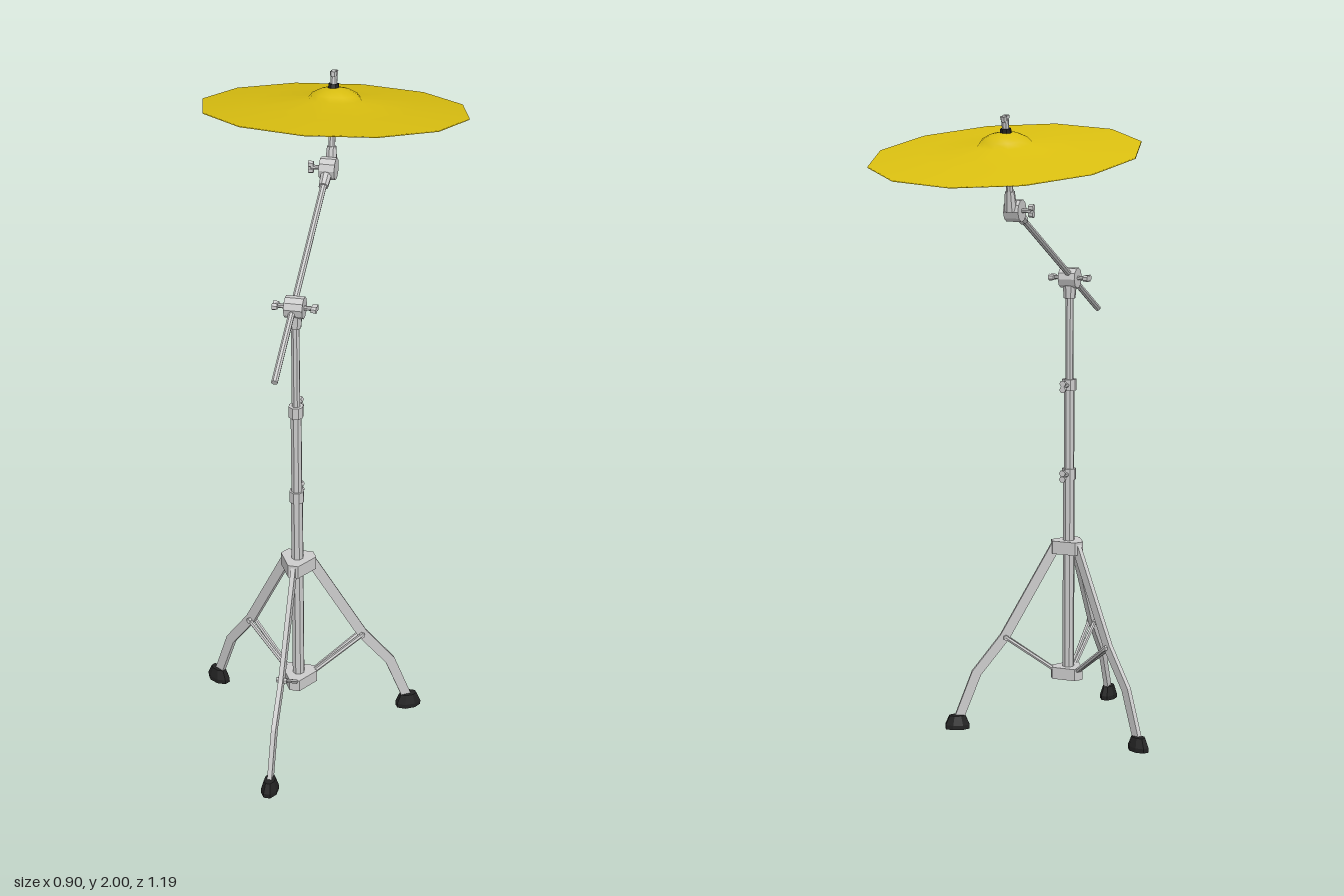
import * as THREE from 'three';

const V = (x, y, z) => new THREE.Vector3(x, y, z);
const UP = V(0, 1, 0);
const metal = new THREE.MeshStandardMaterial({ color: 0xcccccc, flatShading: true });
const rubber = new THREE.MeshStandardMaterial({ color: 0x222222, flatShading: true });
const brass = new THREE.MeshStandardMaterial({ color: 0xd9be10, side: THREE.DoubleSide });

function add(parent, name, geo, mat = metal) {
  const m = new THREE.Mesh(geo, mat);
  m.name = name;
  parent.add(m);
  return m;
}

// Round bar from a to b
function bar(parent, name, a, b, r0, r1 = r0, mat = metal, sides = 8) {
  const d = b.clone().sub(a);
  const m = add(parent, name, new THREE.CylinderGeometry(r1, r0, d.length(), sides), mat);
  m.position.copy(a).addScaledVector(d, 0.5);
  m.quaternion.setFromUnitVectors(UP, d.normalize());
  return m;
}

// Flat plate cut from an outline in the xy plane, centred in z
function plate(points, depth) {
  const shape = new THREE.Shape(points.map(([x, y]) => new THREE.Vector2(x, y)));
  return new THREE.ExtrudeGeometry(shape, { depth, bevelEnabled: false }).translate(0, 0, -depth / 2);
}

// Three-sided hub with blunt corners, pointing at the legs
function hub(parent, name, y, height) {
  const pts = [];
  for (let k = 0; k < 3; k++) {
    for (const w of [-0.016, 0.016]) {
      const a = k * Math.PI * 2 / 3, c = Math.cos(a), s = Math.sin(a);
      pts.push([0.055 * c - w * s, 0.055 * s + w * c]);
    }
  }
  const m = add(parent, name, plate(pts, height).rotateX(-Math.PI / 2));
  m.position.y = y;
  m.rotation.y = LEG_TURN;
}

// Screw with two flat wings at its end
function wingScrew(parent, name, a, b, wing) {
  const g = new THREE.Group();
  g.name = name;
  parent.add(g);
  bar(g, 'screwShaft', a, b, 0.007);
  const side = wing.clone().multiplyScalar(0.014);
  const dir = b.clone().sub(a).normalize().multiplyScalar(0.008);
  for (const s of [-1, 1]) {
    const c = b.clone().addScaledVector(side, s * 0.7);
    bar(g, 'screwWing', c.clone().sub(dir), c.clone().add(dir), 0.009, 0.011, metal, 6);
  }
}

const LEG_TURN = -2 * Math.PI / 180;

function createLeg(angle) {
  const leg = new THREE.Group();
  leg.name = 'leg';
  leg.rotation.y = angle;
  add(leg, 'legStrut', plate([
    [0.055, 0.61], [0.222, 0.31], [0.315, 0.19], [0.374, 0.035],
    [0.344, 0.03], [0.286, 0.178], [0.194, 0.295], [0.03, 0.59]], 0.014));
  // Forked brace spreading around the leg
  for (const s of [-1, 1]) {
    bar(leg, 'brace', V(0.04, 0.185, s * 0.004), V(0.207, 0.302, s * 0.01), 0.007, 0.007, metal, 6);
  }
  bar(leg, 'bracePin', V(0.205, 0.3, -0.016), V(0.205, 0.3, 0.016), 0.009, 0.009, metal, 6);
  // Rubber foot with cut corners
  const profile = [[0, 0], [0.042, 0], [0.042, 0.014], [0.028, 0.044], [0, 0.047]];
  const geo = new THREE.LatheGeometry(profile.map(p => new THREE.Vector2(...p)), 8, Math.PI / 8);
  const foot = add(leg, 'foot', geo, rubber);
  foot.position.x = 0.363;
  foot.scale.z = 0.62;
  return leg;
}

export function createModel() {
  const model = new THREE.Group();
  model.name = 'cymbalStand';

  // Tripod and telescoping pole, built around its own axis
  const stand = new THREE.Group();
  stand.name = 'stand';
  stand.position.set(-0.229, 0, 0.248);
  model.add(stand);
  for (let k = 0; k < 3; k++) stand.add(createLeg(LEG_TURN + k * Math.PI * 2 / 3));
  hub(stand, 'upperHub', 0.597, 0.042);
  hub(stand, 'lowerHub', 0.18, 0.038);

  const ahead = V(0.514, 0, -0.857);   // horizontal heading of the boom
  const across = V(0.857, 0, 0.514);
  bar(stand, 'lowerTube', V(0, 0.16, 0), V(0, 0.84, 0), 0.019);
  bar(stand, 'middleTube', V(0, 0.84, 0), V(0, 1.13, 0), 0.017);
  bar(stand, 'upperTube', V(0, 1.13, 0), V(0, 1.44, 0), 0.013);
  for (const y of [0.835, 1.125]) {
    bar(stand, 'collar', V(0, y - 0.018, 0), V(0, y + 0.018, 0), 0.023);
    const at = d => ahead.clone().multiplyScalar(d).setY(y);
    wingScrew(stand, 'heightScrew', at(0.015), at(0.052), UP);
  }

  // Boom joint on top of the pole
  const joint = new THREE.Group();
  joint.name = 'boomJoint';
  joint.position.copy(stand.position).setY(1.468);
  model.add(joint);
  const along = (d, y = 0) => across.clone().multiplyScalar(d).setY(y);
  bar(joint, 'jointSocket', V(0, -0.065, 0), V(0, -0.015, 0), 0.019, 0.023);
  bar(joint, 'jointBarrel', along(-0.028), along(0.028), 0.033, 0.033, metal, 10);
  wingScrew(joint, 'jointScrew', along(0.02), along(0.058), ahead);
  wingScrew(joint, 'jointScrew', along(-0.02), along(-0.058), ahead);

  // Boom arm and tilter
  const tilt = V(0.005, 1.713, -0.15);
  const tail = V(-0.358, 1.345, 0.455);
  bar(model, 'boomArm', tail, tilt, 0.01);
  bar(model, 'boomSleeve', tail.clone().lerp(tilt, 0.91), tilt, 0.015, 0.019);
  const off = d => tilt.clone().addScaledVector(across, d);
  bar(model, 'tilterBarrel', off(-0.022), off(0.026), 0.034, 0.034, metal, 10);
  wingScrew(model, 'tilterScrew', off(-0.015), off(-0.052), UP);

  // Tilted holder: rod, sleeve, cymbal, felt and nut share one axis
  const top = new THREE.Group();
  top.name = 'cymbalHolder';
  top.position.set(0.036, 1.885, -0.194);
  top.quaternion.setFromUnitVectors(UP, V(0.09, 1, -0.16).normalize());
  model.add(top);
  bar(top, 'rodSocket', V(0, -0.175, 0), V(0, -0.115, 0), 0.02, 0.015);
  bar(top, 'rod', V(0, -0.16, 0), V(0, 0.1, 0), 0.011);
  bar(top, 'lowerFelt', V(0, -0.012, 0), V(0, 0.05, 0), 0.019, 0.019, rubber);
  bar(top, 'upperFelt', V(0, 0.06, 0), V(0, 0.076, 0), 0.018, 0.016, rubber);
  bar(top, 'nut', V(0, 0.076, 0), V(0, 0.1, 0), 0.011, 0.009);
  wingScrew(top, 'wingNut', V(0, 0.08, 0), V(0, 0.106, 0), V(0.5, 0, -0.86));

  // Shallow twelve-sided disc with a domed bell
  const shell = [[0.41, 0], [0.25, 0.014], [0.082, 0.03], [0.07, 0.045], [0.045, 0.058], [0.012, 0.065]];
  const lower = shell.slice().reverse().map(([r, y]) => [r, y - 0.004]);
  const profile = [...lower, ...shell].map(p => new THREE.Vector2(...p));
  const cymbal = add(top, 'cymbal', new THREE.LatheGeometry(profile, 12), brass);
  cymbal.position.x = 0.006;
  cymbal.rotation.y = -0.02;
  return model;
}
